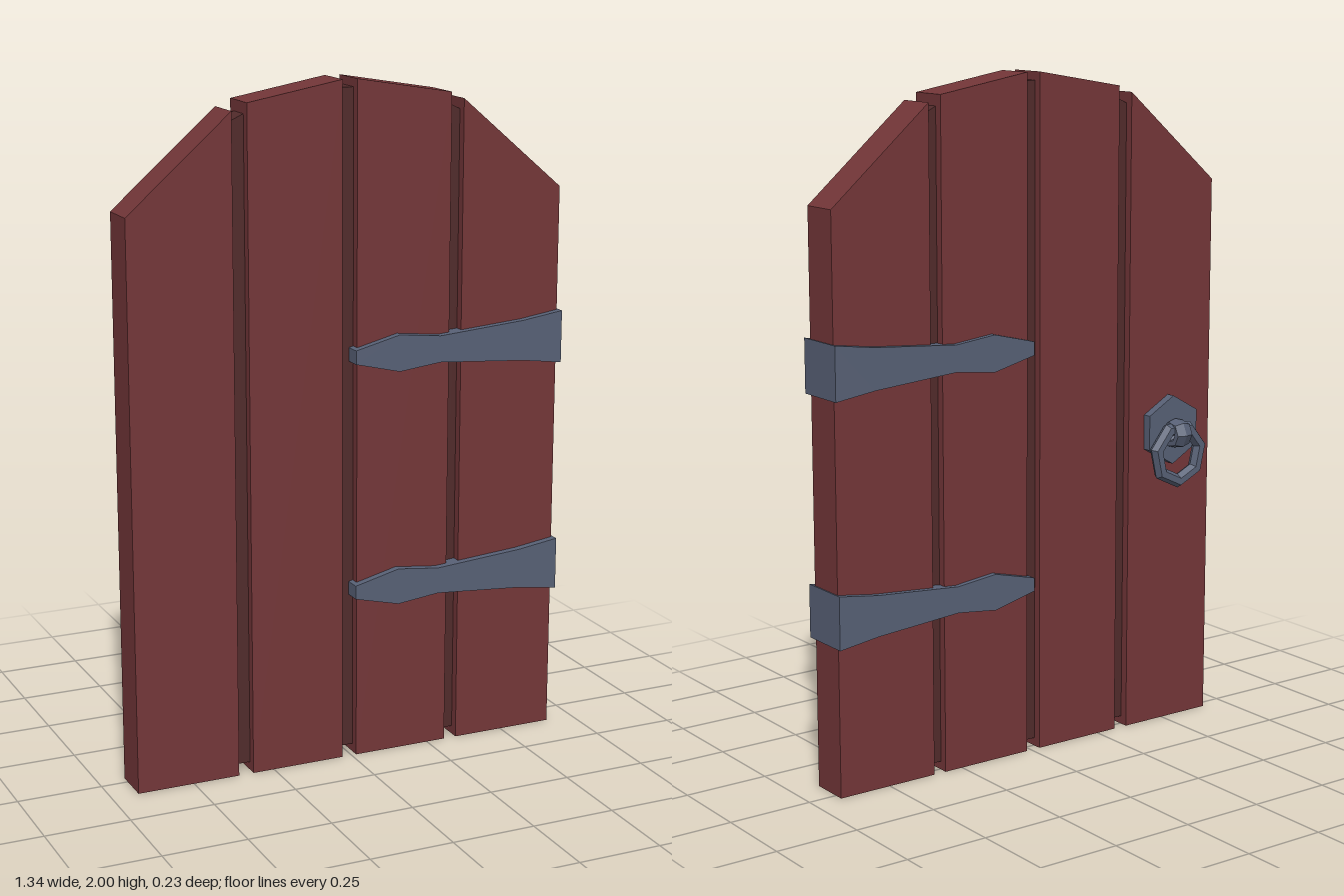
import * as THREE from 'three';

const mat = (color) => new THREE.MeshStandardMaterial({ color, flatShading: true });

// Flat outline extruded between two depths
function slab(name, points, z0, z1, material) {
  const shape = new THREE.Shape(points.map(([x, y]) => new THREE.Vector2(x, y)));
  const geo = new THREE.ExtrudeGeometry(shape, { depth: z1 - z0, bevelEnabled: false });
  geo.translate(0, 0, z0);
  const mesh = new THREE.Mesh(geo, material);
  mesh.name = name;
  return mesh;
}

export function createModel() {
  const door = new THREE.Group();
  door.name = 'door';
  const wood = mat(0x733638), darkWood = mat(0x512b2b), iron = mat(0x576075);

  // Planks: left x, right x, top height at each side
  const planks = [
    [-0.67, -0.36, 1.66, 1.93],
    [-0.315, -0.03, 1.95, 2.0],
    [0.015, 0.308, 2.0, 1.95],
    [0.347, 0.663, 1.93, 1.66],
  ];
  planks.forEach(([a, b, ya, yb], i) =>
    door.add(slab('plank' + (i + 1), [[a, 0], [b, 0], [b, yb], [a, ya]], -0.028, 0.092, wood)));

  // Recessed strips filling the gaps between planks
  const strips = [
    [-0.365, -0.31, 1.895, 1.92],
    [-0.035, 0.02, 1.975, 1.975],
    [0.303, 0.352, 1.92, 1.895],
  ];
  strips.forEach(([a, b, ya, yb], i) =>
    door.add(slab('gapStrip' + (i + 1), [[a, 0.025], [b, 0.025], [b, yb], [a, ya]], -0.004, 0.066, darkWood)));

  // Strap hinges wrapping the hinge-side edge
  const upper = [[0.002, 0.02], [0.14, 0.054], [0.27, 0.039], [0.54, 0.06], [0.668, 0.078]];
  const outline = [
    ...upper.map(([x, h]) => [x, -h]),
    ...upper.slice().reverse(),
  ];
  [['upperHinge', 1.217], ['lowerHinge', 0.516]].forEach(([name, y]) => {
    const hinge = slab(name, outline, -0.045, 0.115, iron);
    hinge.position.y = y;
    door.add(hinge);
  });

  // Ring handle on the back
  const handle = new THREE.Group();
  handle.name = 'handle';
  handle.position.x = -0.51;

  const plate = new THREE.Mesh(new THREE.CylinderGeometry(0.105, 0.105, 0.03, 6), iron);
  plate.name = 'handlePlate';
  plate.rotation.x = Math.PI / 2;
  plate.position.set(0, 0.915, -0.04);

  const ring = new THREE.Mesh(new THREE.TorusGeometry(0.084, 0.021, 6, 7), iron);
  ring.name = 'handleRing';
  ring.rotation.z = -Math.PI / 2;
  ring.position.set(0, 0.846, -0.078);

  const loop = new THREE.Mesh(new THREE.TorusGeometry(0.03, 0.016, 6, 7), iron);
  loop.name = 'handleLoop';
  loop.rotation.y = Math.PI / 2;
  loop.scale.z = 2;
  loop.position.set(0, 0.907, -0.074);

  handle.add(plate, ring, loop);
  door.add(handle);
  return door;
}
